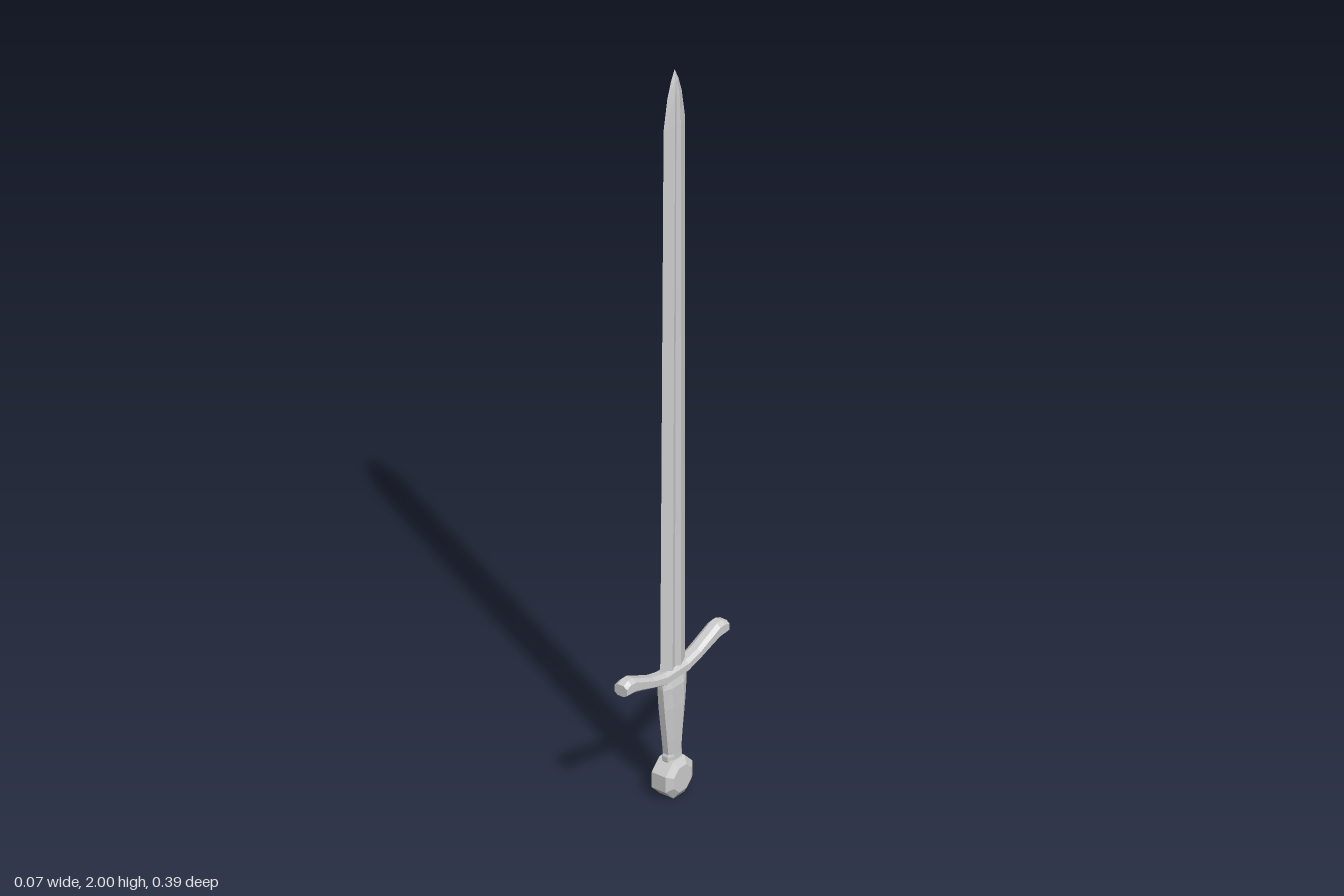
import * as THREE from 'three';

const material = new THREE.MeshStandardMaterial({ color: 0xcccccc, flatShading: true, side: THREE.DoubleSide });

// Skin a list of rings (counter-clockwise about the direction of travel) and cap both ends.
function loft(name, rings) {
  const pos = [];
  const tri = (...p) => p.forEach(v => pos.push(...v));
  const n = rings[0].length;
  for (let i = 0; i < rings.length - 1; i++) {
    for (let j = 0; j < n; j++) {
      const k = (j + 1) % n;
      const a = rings[i][j], b = rings[i][k], c = rings[i + 1][k], d = rings[i + 1][j];
      tri(a, b, c);
      tri(a, c, d);
    }
  }
  const centre = r => [0, 1, 2].map(c => r.reduce((s, p) => s + p[c], 0) / n);
  const first = rings[0], last = rings[rings.length - 1];
  for (let j = 0; j < n; j++) {
    const k = (j + 1) % n;
    tri(centre(first), first[k], first[j]);
    tri(centre(last), last[j], last[k]);
  }
  const geometry = new THREE.BufferGeometry();
  geometry.setAttribute('position', new THREE.Float32BufferAttribute(pos, 3));
  geometry.computeVertexNormals();
  const mesh = new THREE.Mesh(geometry, material);
  mesh.name = name;
  return mesh;
}

// Rectangle with cut corners, as [u, v] pairs
const chamfered = (u, v, cu, cv) => [
  [u, -v + cv], [u, v - cv], [u - cu, v], [-u + cu, v],
  [-u, v - cv], [-u, -v + cv], [-u + cu, -v], [u - cu, -v],
];

// Blade: y, front edge z, front ridge z, groove z, back ridge z, back edge z, ridge x, groove x
function makeBlade() {
  const stations = [
    [0.33, 0.045, 0.014, -0.002, -0.018, -0.05, 0.013, 0.007],
    [1.85, 0.032, 0.002, -0.009, -0.02, -0.05, 0.011, 0.006],
    [1.93, 0.018, -0.001, -0.0095, -0.018, -0.037, 0.009, 0.006],
    [1.97, 0.005, -0.005, -0.01, -0.015, -0.025, 0.006, 0.005],
    [2.0, -0.0095, -0.01, -0.01, -0.01, -0.0105, 0.0005, 0.0005],
  ];
  return loft('blade', stations.map(([y, e0, r0, g, r1, e1, rx, gx]) => [
    [0, y, e0], [rx, y, r0], [gx, y, g], [rx, y, r1],
    [0, y, e1], [-rx, y, r1], [-gx, y, g], [-rx, y, r0],
  ]));
}

// Crossguard: |z|, middle y, half height; the arms sweep up toward the tips
function makeGuard() {
  const arm = [
    [0.195, 0.375, 0.015], [0.178, 0.377, 0.021], [0.16, 0.376, 0.021], [0.13, 0.365, 0.018],
    [0.085, 0.348, 0.015], [0.04, 0.336, 0.016],
  ];
  const stations = [
    ...arm.map(([z, y, h]) => [-z, y, h]),
    ...[...arm].reverse(),
  ];
  return loft('crossguard', stations.map(([z, y, h]) =>
    chamfered(0.019, h, 0.01, h * 0.45).map(([u, v]) => [u, y + v, z])));
}

// Grip: y, half x, half z; tapering down to a small collar
function makeGrip() {
  const stations = [
    [0.09, 0.015, 0.023], [0.1, 0.018, 0.027], [0.112, 0.018, 0.027], [0.118, 0.018, 0.024],
    [0.16, 0.019, 0.029], [0.25, 0.02, 0.04], [0.305, 0.019, 0.045], [0.325, 0.014, 0.045],
  ];
  return loft('grip', stations.map(([y, x, z]) =>
    chamfered(x, z, x * 0.55, z * 0.5).map(([u, v]) => [u, y, -v])));
}

// Pommel: eight-sided disc lying across x with bevelled faces
function makePommel() {
  const profile = [[0, -0.033], [0.036, -0.033], [0.055, -0.021], [0.055, 0.021], [0.036, 0.033], [0, 0.033]];
  const geometry = new THREE.LatheGeometry(profile.map(p => new THREE.Vector2(...p)), 8);
  geometry.rotateY(Math.PI / 8);
  geometry.rotateZ(-Math.PI / 2);
  geometry.translate(0, 0.052, 0);
  const mesh = new THREE.Mesh(geometry, material);
  mesh.name = 'pommel';
  return mesh;
}

export function createModel() {
  const group = new THREE.Group();
  group.name = 'sword';
  group.add(makeBlade(), makeGuard(), makeGrip(), makePommel());
  return group;
}
